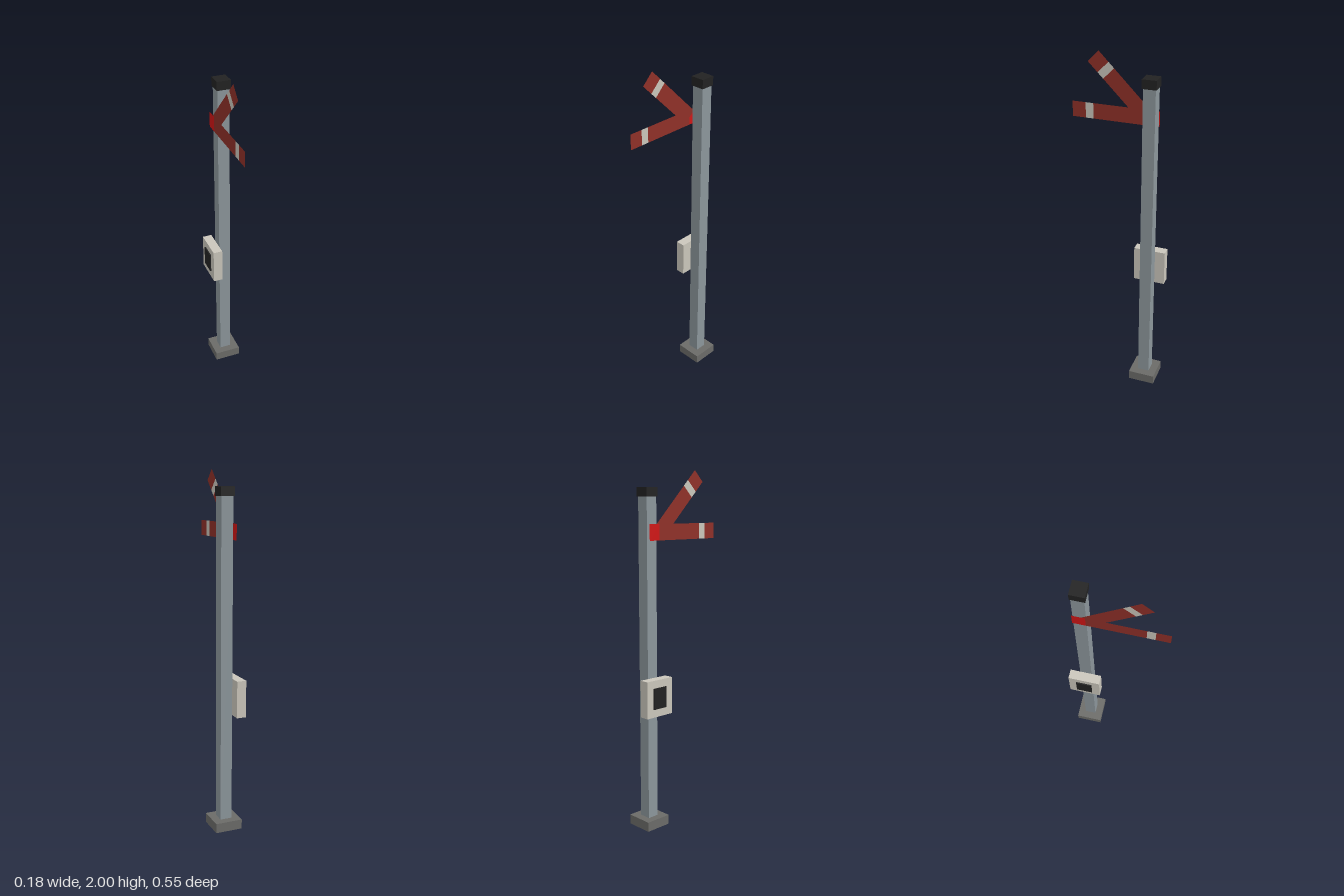
import * as THREE from 'three';

const paint = (name, color, side = THREE.FrontSide) => {
  const m = new THREE.MeshStandardMaterial({ color, side });
  m.name = name;
  return m;
};

export function createModel() {
  const group = new THREE.Group();
  group.name = 'semaphoreSignal';

  const steel = paint('greySteel', 0x8c969b);
  const concrete = paint('concrete', 0x6b6b68);
  const black = paint('black', 0x222222);
  const cream = paint('cream', 0xcac6bb);
  const bladeRed = paint('bladeRed', 0x8f3028, THREE.DoubleSide);
  const bladeWhite = paint('bladeWhite', 0xcac6bb, THREE.DoubleSide);
  const brightRed = paint('brightRed', 0xd01616, THREE.DoubleSide);

  // Axis of the post
  const PX = 0.009, PZ = -0.184;

  // Box given by its lowest and highest corners
  const block = (name, mat, [x0, y0, z0], [x1, y1, z1]) => {
    const mesh = new THREE.Mesh(new THREE.BoxGeometry(x1 - x0, y1 - y0, z1 - z0), mat);
    mesh.position.set((x0 + x1) / 2, (y0 + y1) / 2, (z0 + z1) / 2);
    mesh.name = name;
    group.add(mesh);
  };
  // Square block centred on the post axis
  const square = (name, mat, half, y0, y1) =>
    block(name, mat, [PX - half, y0, PZ - half], [PX + half, y1, PZ + half]);

  // Post, cap and footing plate
  square('post', steel, 0.034, 0.012, 1.87);
  square('cap', black, 0.0395, 1.858, 1.908);
  square('footingTop', concrete, 0.0785, 0.04, 0.055);

  // Footing rim, open underneath around the post
  const rim = new THREE.Shape();
  const hole = new THREE.Path();
  [[rim, 0.0785], [hole, 0.048]].forEach(([path, h]) => {
    path.moveTo(-h, -h).lineTo(h, -h).lineTo(h, h).lineTo(-h, h).closePath();
  });
  rim.holes.push(hole);
  const rimGeo = new THREE.ExtrudeGeometry(rim, { depth: 0.04, bevelEnabled: false });
  rimGeo.rotateX(-Math.PI / 2);
  const footing = new THREE.Mesh(rimGeo, concrete);
  footing.position.set(PX, 0, PZ);
  footing.name = 'footingRim';
  group.add(footing);

  // Control box with its dark door panel
  block('controlBox', cream, [-0.083, 0.667, -0.275], [-0.029, 0.875, -0.091]);
  block('controlPanel', black, [-0.09, 0.713, -0.23], [-0.082, 0.831, -0.138]);

  // Flat blade pieces run along local +z from the pivot
  const piece = (arm, name, mat, from, to) => {
    const geo = new THREE.PlaneGeometry(to - from, 0.087);
    geo.rotateY(-Math.PI / 2);
    geo.translate(0, 0, (from + to) / 2);
    const mesh = new THREE.Mesh(geo, mat);
    mesh.name = name;
    arm.add(mesh);
  };
  const makeArm = (name, x, angle) => {
    const arm = new THREE.Group();
    arm.name = name;
    piece(arm, 'bladeInner', bladeRed, 0, 0.304);
    piece(arm, 'bladeStripe', bladeWhite, 0.304, 0.348);
    piece(arm, 'bladeTip', bladeRed, 0.348, 0.424);
    arm.position.set(x, 1.672, -0.148);
    arm.rotation.x = -angle;
    group.add(arm);
    return arm;
  };
  const level = makeArm('levelArm', -0.046, 0);
  piece(level, 'armTail', brightRed, -0.069, 0);
  makeArm('raisedArm', -0.045, Math.PI / 4);

  return group;
}
